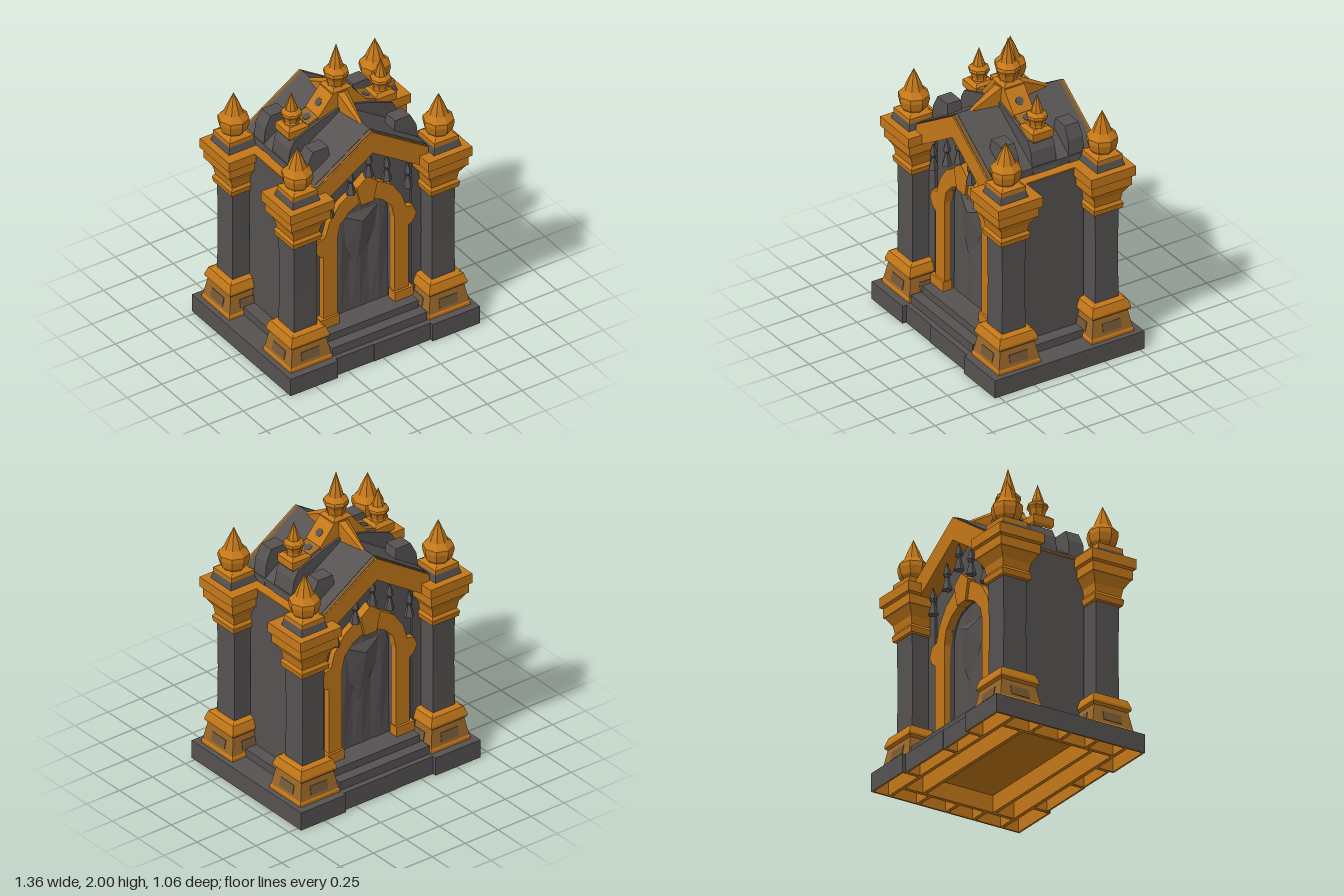
import * as THREE from 'three';
import { ConvexGeometry } from 'three/addons/geometries/ConvexGeometry.js';

const stone = new THREE.MeshStandardMaterial({ color: 0x565252 });
stone.name = 'stone';
const gold = new THREE.MeshStandardMaterial({ color: 0xc47819 });
gold.name = 'gold';
const bronze = new THREE.MeshStandardMaterial({ color: 0x9c6829 });
bronze.name = 'bronze';
const tarnish = new THREE.MeshStandardMaterial({ color: 0x755838 });
tarnish.name = 'tarnish';

// Faceted mesh with hard edges
function part(parent, name, geometry, material) {
  const g = geometry.index ? geometry.toNonIndexed() : geometry;
  g.computeVertexNormals();
  const mesh = new THREE.Mesh(g, material);
  mesh.name = name;
  parent.add(mesh);
  return mesh;
}

function box(parent, name, material, x0, x1, y0, y1, z0, z1) {
  const g = new THREE.BoxGeometry(x1 - x0, y1 - y0, z1 - z0);
  g.translate((x0 + x1) / 2, (y0 + y1) / 2, (z0 + z1) / 2);
  return part(parent, name, g, material);
}

// Square moulding from [half width, height] pairs
function square(parent, name, material, profile) {
  const pts = profile.map(([r, y]) => new THREE.Vector2(r * Math.SQRT2, y));
  return part(parent, name, new THREE.LatheGeometry(pts, 4, Math.PI / 4), material);
}

function round(parent, name, material, profile, sides) {
  const pts = profile.map(([r, y]) => new THREE.Vector2(r, y));
  return part(parent, name, new THREE.LatheGeometry(pts, sides), material);
}

function hull(parent, name, material, points) {
  return part(parent, name, new ConvexGeometry(points.map((p) => new THREE.Vector3(...p))), material);
}

function shapeOf(points) {
  return new THREE.Shape(points.map(([x, y]) => new THREE.Vector2(x, y)));
}

function extrude(parent, name, material, shape, z0, z1) {
  const g = new THREE.ExtrudeGeometry(shape, { depth: z1 - z0, bevelEnabled: false, curveSegments: 6 });
  g.translate(0, 0, z0);
  return part(parent, name, g, material);
}

// Mirror a right-hand outline to make it symmetrical
const mirrored = (half) => [...half, ...half.filter(([x]) => x > 0).reverse().map(([x, y]) => [-x, y])];

// Sloping band following the gable, between two heights at the ridge
function gableBand(top, bottom, reach, drop) {
  return shapeOf([[0, top], [-reach, top - drop], [-reach, bottom - drop], [0, bottom], [reach, bottom - drop], [reach, top - drop]]);
}

// Bulb-and-spike ornament standing at height y
const roundBulb = [[0.65, 0], [0.88, 0.1], [1, 0.27], [0.98, 0.37], [0.62, 0.5], [0.56, 0.56], [0.4, 0.7], [0, 1]];
const tallBulb = [[0.75, 0], [0.68, 0.07], [0.8, 0.2], [1, 0.3], [0.95, 0.37], [0.58, 0.46], [0.5, 0.56], [0, 1]];
function finial(parent, profile, x, y, z, height, radius) {
  const m = round(parent, 'finial', gold, profile.map(([r, h]) => [r * radius, h * height]), 8);
  m.position.set(x, y, z);
}

function column(sx, sz) {
  const c = new THREE.Group();
  c.name = 'column';
  square(c, 'pedestalFoot', gold, [[0.15, 0.12], [0.15, 0.14], [0.144, 0.15]]);
  square(c, 'pedestal', bronze, [[0.144, 0.15], [0.122, 0.27]]);
  // Tarnished panel on each sloping pedestal face
  for (let i = 0; i < 4; i++) {
    const panel = new THREE.BoxGeometry(0.13, 0.06, 0.006);
    panel.rotateX(-0.181);
    panel.translate(0, 0.2, 0.1355);
    panel.rotateY(i * Math.PI / 2);
    part(c, 'pedestalPanel', panel, tarnish);
  }
  square(c, 'pedestalTrim', gold, [[0.122, 0.265], [0.137, 0.28], [0.137, 0.295], [0.12, 0.345], [0.1, 0.355], [0.08, 0.355]]);
  square(c, 'shaft', stone, [[0.083, 0.35], [0.08, 0.65], [0.083, 0.98]]);
  square(c, 'capital', gold, [[0.08, 0.97], [0.1, 0.975], [0.105, 1.01], [0.092, 1.03], [0.1, 1.08],
    [0.133, 1.135], [0.142, 1.14], [0.142, 1.2], [0.158, 1.21], [0.158, 1.275], [0, 1.275]]);
  const top = new THREE.Group();
  top.name = 'columnTop';
  square(top, 'finialBlock', stone, [[0.1, 1.27], [0.088, 1.32]]);
  square(top, 'finialCollar', gold, [[0.088, 1.32], [0.088, 1.35], [0.06, 1.365], [0, 1.365]]);
  finial(top, roundBulb, 0, 1.36, 0, 0.28, 0.098);
  top.position.set(sx * 0.012, 0, sz * 0.012);
  c.add(top);
  c.position.set(sx * 0.495, 0, sz * 0.33);
  return c;
}

// One gabled front with doorway, trim, drape and tassels
function facade() {
  const f = new THREE.Group();
  f.name = 'facade';
  const wall = shapeOf(mirrored([[0, 1.55], [0.4, 1.28], [0.42, 1.25], [0.42, 0.12]]));
  const opening = new THREE.Path();
  opening.moveTo(0.205, 0.2);
  opening.lineTo(0.205, 0.84);
  opening.absarc(0, 0.84, 0.205, 0, Math.PI, false);
  opening.lineTo(-0.205, 0.2);
  opening.closePath();
  wall.holes.push(opening);
  extrude(f, 'gableWall', stone, wall, 0.23, 0.28);

  // Door surround with stepped shoulders
  const trim = shapeOf(mirrored([[0, 1.155], [0.1, 1.14], [0.19, 1.08], [0.26, 0.98], [0.29, 0.88], [0.34, 0.87],
    [0.365, 0.81], [0.34, 0.76], [0.305, 0.74], [0.305, 0.23], [0.205, 0.23], [0.205, 0.84], [0.185, 0.93],
    [0.12, 1.0], [0.05, 1.035], [0, 1.035]]));
  extrude(f, 'doorSurround', gold, trim, 0.27, 0.32);
  extrude(f, 'keystone', gold, shapeOf(mirrored([[0, 1.225], [0.03, 1.2], [0.075, 1.165], [0.045, 1.03]])), 0.275, 0.337);
  for (const s of [-1, 1]) {
    box(f, 'surroundFoot', gold, s * 0.265 - 0.067, s * 0.265 + 0.067, 0.23, 0.295, 0.27, 0.335);
    // Pilaster strips either side of the doorway
    box(f, 'pilaster', stone, s * 0.38 - 0.035, s * 0.38 + 0.035, 0.12, 1.2, 0.27, 0.295);
  }

  // Folded drape hanging in the doorway
  const drape = new THREE.PlaneGeometry(0.41, 0.85, 6, 2);
  const p = drape.attributes.position;
  for (let i = 0; i < p.count; i++) {
    const x = p.getX(i), y = p.getY(i);
    p.setXYZ(i, x, y + 0.64, 0.253 + 0.007 * Math.cos(x * 46 + y * 3));
  }
  part(f, 'doorDrape', drape, stone);
  const swag = [[-0.13, 0.93, 0.255], [0.13, 0.93, 0.255], [0, 0.87, 0.29], [0.1, 0.75, 0.255], [-0.1, 0.7, 0.255], [-0.03, 0.52, 0.255]];
  hull(f, 'drapeSwag', stone, swag);

  // Gable moulding and hanging tassels
  extrude(f, 'gableMoulding', gold, gableBand(1.58, 1.43, 0.4, 0.262), 0.275, 0.395);
  for (const [x, y] of [[-0.28, 1.055], [-0.13, 1.16], [0, 1.24], [0.13, 1.16], [0.28, 1.055]]) {
    const t = round(f, 'tassel', stone, [[0, 0], [0.034, 0], [0.013, 0.08], [0.026, 0.1], [0.02, 0.13], [0, 0.18]], 5);
    t.position.set(x, y, 0.35);
  }

  // Entrance steps
  box(f, 'lowerStep', stone, -0.34, 0.34, 0.12, 0.18, 0.2, 0.47);
  box(f, 'upperStep', stone, -0.325, 0.325, 0.18, 0.23, 0.2, 0.4);
  return f;
}

// Paving block, hollow and gilded inside, open underneath
function block(parent, x0, x1, z0, z1) {
  const shells = [['pavingBlock', stone, 0, 0.122, 1], ['pavingHollow', gold, 0.012, 0.112, -1]];
  for (const [name, material, inset, height, facing] of shells) {
    const g = new THREE.BoxGeometry(x1 - x0 - 2 * inset, height, z1 - z0 - 2 * inset);
    // Leave out the bottom face; a negative scale turns the shell inside out
    g.setIndex([...g.index.array].filter((_, i) => i < 18 || i >= 24));
    g.scale(1, 1, facing);
    g.translate((x0 + x1) / 2, height / 2, (z0 + z1) / 2);
    part(parent, name, g, material);
  }
  // Gilded rim joining the two shells
  const rim = shapeOf([[x0, -z0], [x0, -z1], [x1, -z1], [x1, -z0]]);
  const i = 0.012;
  rim.holes.push(new THREE.Path([[x0 + i, -z0 - i], [x1 - i, -z0 - i], [x1 - i, -z1 + i], [x0 + i, -z1 + i]]
    .map(([x, y]) => new THREE.Vector2(x, y))));
  const g = new THREE.ExtrudeGeometry(rim, { depth: 0.003, bevelEnabled: false });
  g.rotateX(-Math.PI / 2);
  part(parent, 'blockRim', g, gold);
}

function base() {
  const b = new THREE.Group();
  b.name = 'base';
  for (const s of [-1, 1]) {
    const span = (a, c) => (s > 0 ? [a, c] : [-c, -a]);
    for (const [x0, x1, out] of [[-0.68, -0.34, 0.53], [-0.34, -0.065, 0.503], [-0.065, 0.34, 0.508], [0.34, 0.68, 0.53]]) {
      block(b, x0, x1, ...span(0.4, out));
    }
    block(b, -0.535, 0.535, ...span(0.25, 0.4));
    for (const [z0, z1] of [[-0.4, -0.2], [-0.2, 0.007], [0.007, 0.2], [0.2, 0.4]]) block(b, ...span(0.535, 0.68), z0, z1);
    box(b, 'sidePlinth', stone, ...span(0.4, 0.54), 0.12, 0.175, -0.3, 0.3);
  }
  block(b, -0.535, 0.535, -0.25, 0.25);
  return b;
}

function roof() {
  const r = new THREE.Group();
  r.name = 'roof';
  extrude(r, 'gableRoof', stone, shapeOf(mirrored([[0, 1.572], [0.405, 1.31], [0.405, 1.25]])), -0.278, 0.278);
  extrude(r, 'roofSlabs', stone, gableBand(1.587, 1.56, 0.405, 0.266), -0.36, 0.36);
  extrude(r, 'wornRoofEdge', tarnish, gableBand(1.584, 1.56, 0.403, 0.265), -0.385, 0.385);
  // Curved cross vault between the gables
  const vault = mirrored([[0, 1.6], [0.17, 1.55], [0.3, 1.5], [0.35, 1.48], [0.385, 1.42], [0.41, 1.27]]);
  extrude(r, 'crossVault', stone, shapeOf(vault), -0.085, 0.085);
  for (const s of [-1, 1]) {
    for (const t of [-1, 1]) {
      const pts = [];
      for (const [y, xi, xo, zi, zo] of [[1.27, 0.22, 0.41, 0.17, 0.28], [1.42, 0.23, 0.39, 0.175, 0.28], [1.5, 0.24, 0.35, 0.18, 0.275]]) {
        for (const x of [xi, xo]) for (const z of [zi, zo]) pts.push([s * x, y, t * z]);
      }
      hull(r, 'roofButtress', stone, pts);
    }
    // Side finial on its square plinth
    const plinth = square(r, 'finialPlinth', gold, [[0.06, 1.47], [0.073, 1.49], [0.073, 1.535], [0.05, 1.555], [0, 1.555]]);
    plinth.position.x = s * 0.315;
    finial(r, tallBulb, s * 0.32, 1.55, 0, 0.22, 0.067);
    // Bronze band leading up to the crown
    hull(r, 'vaultBand', bronze, [0.16, 0.27].flatMap((x) => [-0.065, 0.065].flatMap((z) =>
      [[s * x, 1.45, z], [s * x, x < 0.2 ? 1.57 : 1.53, z]])));
    // Dark roundels on the band and on the crown slope
    for (const [x, y, tilt] of [[0.212, 1.5511, -0.349], [0.127, 1.6216, -0.876]]) {
      const disc = part(r, 'roundel', new THREE.CylinderGeometry(0.027, 0.027, 0.006, 10), stone);
      disc.position.set(s * x, y, 0);
      disc.rotation.z = s * tilt;
    }
    // Ridge fin tapering toward each gable
    hull(r, 'ridgeFin', gold, [[-0.04, 1.55, 0], [0.04, 1.55, 0], [-0.035, 1.69, s * 0.07], [0.035, 1.69, s * 0.07],
      [0, 1.7, s * 0.09], [-0.012, 1.57, s * 0.28], [0.012, 1.57, s * 0.28], [0, 1.59, s * 0.27]]);
  }
  // Crown carrying the tallest finial
  hull(r, 'crown', gold, [[0.185, 1.53], [0.17, 1.57], [0.07, 1.69]].flatMap(([x, y]) =>
    [-1, 1].flatMap((s) => [[s * x, y, 0.07], [s * x, y, -0.07]])));
  square(r, 'crownPlinth', gold, [[0.06, 1.66], [0.07, 1.68], [0.07, 1.7], [0.05, 1.72], [0, 1.72]]);
  finial(r, tallBulb, 0, 1.7, 0, 0.3, 0.08);
  return r;
}

export function createModel() {
  const model = new THREE.Group();
  model.name = 'shrine';
  model.add(base(), roof());
  // Main chamber
  box(model, 'chamber', stone, -0.46, 0.46, 0.12, 1.265, -0.24, 0.24);
  box(model, 'wallCoping', gold, -0.468, 0.468, 1.265, 1.275, -0.24, 0.24);
  for (const sx of [-1, 1]) for (const sz of [-1, 1]) model.add(column(sx, sz));
  const front = facade();
  const back = facade();
  back.rotation.y = Math.PI;
  model.add(front, back);
  return model;
}
